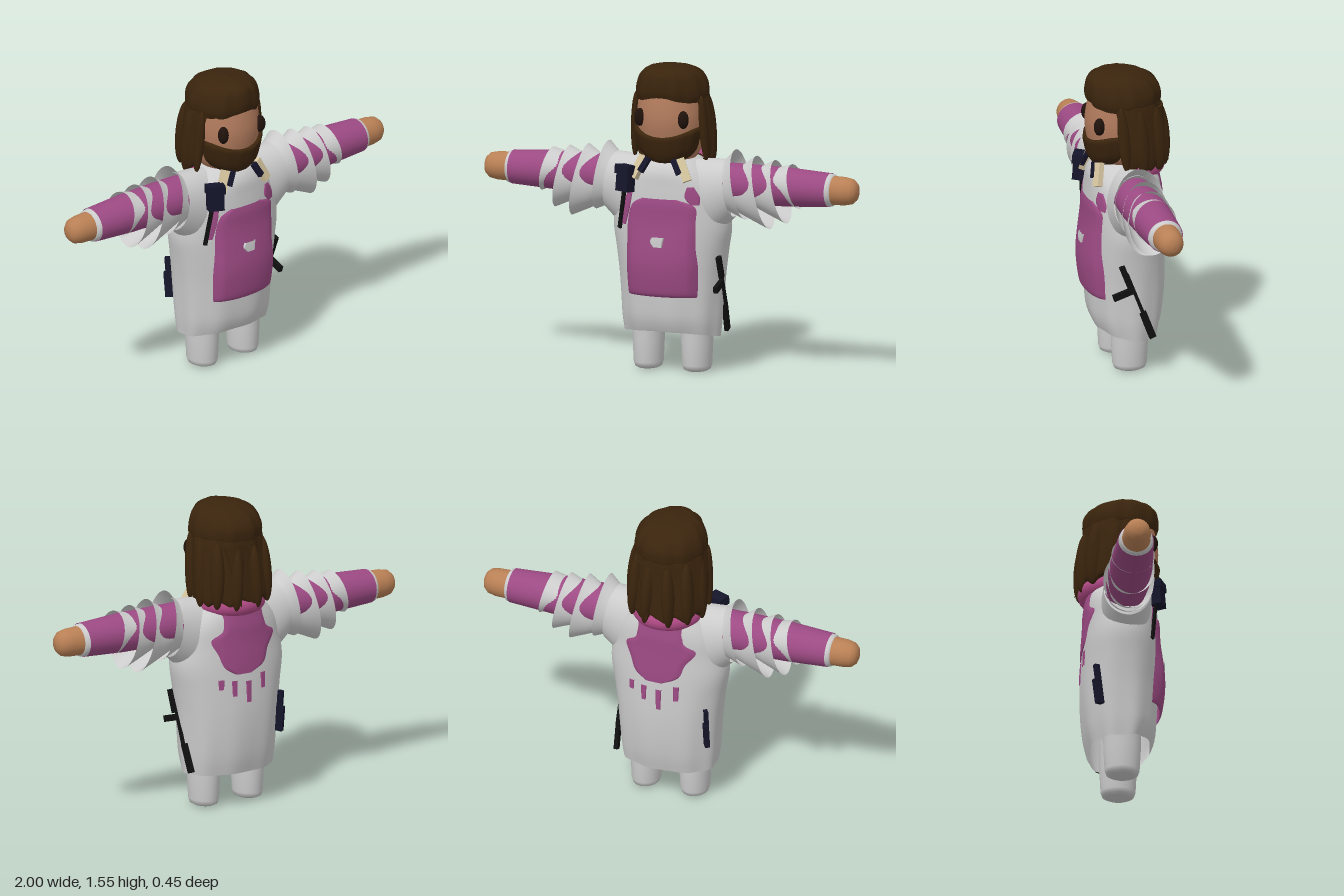
import * as THREE from 'three';

const mat = (color) => new THREE.MeshStandardMaterial({ color, side: THREE.DoubleSide });
const GREY = mat(0xcccccc), PURPLE = mat(0x9c4a83), HAIR = mat(0x3a240d), SKIN = mat(0xb07a5c),
  HAND = mat(0xb98055), NAVY = mat(0x15152b), BLACK = mat(0x101010), CREAM = mat(0xd8c7a0),
  EYE = mat(0x20120c), PINK = mat(0xb04a85);

function add(parent, name, geo, material, pos = [0, 0, 0], rot = [0, 0, 0], scale = [1, 1, 1]) {
  const m = new THREE.Mesh(geo, material);
  m.name = name;
  m.position.set(...pos);
  m.rotation.set(...rot);
  m.scale.set(...scale);
  parent.add(m);
  return m;
}

// Surface through a list of point rings; rings may be closed loops or open strips
function loft(rings, closed = true) {
  const n = rings[0].length, idx = [];
  for (let i = 0; i < rings.length - 1; i++) {
    for (let j = 0; j < (closed ? n : n - 1); j++) {
      const k = (j + 1) % n, a = i * n + j, b = a + n, c = i * n + k, d = b - j + k;
      idx.push(a, b, c, b, d, c);
    }
  }
  const g = new THREE.BufferGeometry();
  g.setAttribute('position', new THREE.Float32BufferAttribute(rings.flat(2), 3));
  g.setIndex(idx);
  g.computeVertexNormals();
  return g;
}

// Smooth sampling of [height, halfWidth, zFront, zBack] profile rows
function sample(rows, t) {
  const f = THREE.MathUtils.clamp(t, 0, 1) * (rows.length - 1);
  const i = Math.min(Math.floor(f), rows.length - 2), k = f - i;
  const at = (q) => rows[THREE.MathUtils.clamp(q, 0, rows.length - 1)];
  return rows[0].map((_, c) => {
    const a = at(i)[c], b = at(i + 1)[c], m0 = (b - at(i - 1)[c]) / 2, m1 = (at(i + 2)[c] - a) / 2;
    const k2 = k * k, k3 = k2 * k;
    return (2 * k3 - 3 * k2 + 1) * a + (k3 - 2 * k2 + k) * m0 + (3 * k2 - 2 * k3) * b + (k3 - k2) * m1;
  });
}

// Upright body from profile rows: p = superellipse power, gap = opening at the front
function upright(rows, { p = 2, gap = 0, steps = 24, seg = 64, fold = () => 0, lift = () => 0 } = {}) {
  const rings = [], closed = gap === 0;
  for (let s = 0; s <= steps; s++) {
    const [y, w, zf, zb] = sample(rows, s / steps), ring = [];
    for (let j = 0; j < seg + (closed ? 0 : 1); j++) {
      const a = Math.PI / 2 + gap + (j / seg) * (Math.PI * 2 - 2 * gap);
      const c = Math.cos(a), d = Math.sin(a), r = 1 + fold(a, s / steps);
      const e = (v) => Math.sign(v) * Math.abs(v) ** (2 / p) * r;
      ring.push([w * e(c), y + lift(a, s / steps), (zf + zb) / 2 + ((zf - zb) / 2) * e(d)]);
    }
    rings.push(ring);
  }
  return loft(rings, closed);
}

const ROBE = [[0.185, 0.245, 0.155, -0.155], [0.27, 0.255, 0.18, -0.175], [0.38, 0.262, 0.19, -0.188],
  [0.5, 0.272, 0.195, -0.193], [0.62, 0.288, 0.198, -0.19], [0.74, 0.305, 0.195, -0.183],
  [0.85, 0.29, 0.195, -0.175], [0.95, 0.265, 0.19, -0.172], [1.03, 0.2, 0.18, -0.16],
  [1.085, 0.12, 0.13, -0.12], [1.11, 0.01, 0.01, -0.01]];
const ROBE_P = 2.2;

// Depth of the robe at a given x and y
function robeZ(x, y, side) {
  let i = 0;
  while (i < ROBE.length - 2 && ROBE[i + 1][0] < y) i++;
  const k = (y - ROBE[i][0]) / (ROBE[i + 1][0] - ROBE[i][0]);
  const [, w, zf, zb] = ROBE[i].map((v, c) => THREE.MathUtils.lerp(v, ROBE[i + 1][c], k));
  const e = Math.max(0, 1 - Math.min(1, Math.abs(x) / w) ** ROBE_P) ** (1 / ROBE_P);
  return (zf + zb) / 2 + side * ((zf - zb) / 2) * e;
}

// Cloth patch lying on the robe; rows are [y, xMin, xMax, offset]
function patch(rows, side) {
  const rings = [], n = rows.length * 4;
  for (let s = 0; s <= n; s++) {
    const [y, l, r, off] = sample(rows, s / n), ring = [];
    for (let j = 0; j <= 16; j++) {
      const x = side > 0 ? r + ((l - r) * j) / 16 : l + ((r - l) * j) / 16;
      const edge = j % 16 === 0 ? 0.2 : 1;
      ring.push([x, y, robeZ(x, y, side) + side * off * edge]);
    }
    rings.push(ring);
  }
  return loft(rings, false);
}

// Sleeve ring: tilted oval from its top point to its bottom point
function armRing([xt, yt, xb, yb, hz]) {
  return Array.from({ length: 40 }, (_, j) => {
    const a = (j / 40) * Math.PI * 2, c = Math.cos(a);
    return [THREE.MathUtils.lerp(xt, xb, (1 - c) / 2), (yt + yb) / 2 + ((yt - yb) / 2) * c, 0.02 - hz * Math.sin(a)];
  });
}
const roundArm = (rows) => loft(rows.map(([x, ry, rz]) => armRing([x, 0.97 + ry, x, 0.97 - ry, rz])));

function buildArm() {
  const g = new THREE.Group();
  add(g, 'arm', roundArm([[0.12, 0.1, 0.1], [0.4, 0.1, 0.111], [0.62, 0.098, 0.104], [0.85, 0.085, 0.09]]), PURPLE);
  add(g, 'wristBand', roundArm([[0.84, 0.083, 0.087], [0.865, 0.081, 0.083], [0.872, 0.07, 0.07]]), GREY);
  add(g, 'hand', roundArm([[0.86, 0.073, 0.072], [0.93, 0.071, 0.068], [0.97, 0.063, 0.06],
    [0.99, 0.045, 0.043], [0.998, 0.025, 0.024], [1, 0.001, 0.001]]), HAND);
  add(g, 'shoulderSleeve', loft([[0.1, 1.075, 0.18, 0.7, 0.12], [0.2, 1.085, 0.27, 0.73, 0.125],
    [0.3, 1.09, 0.34, 0.8, 0.12]].map(armRing)), GREY);
  // Overlapping flared cuffs
  const cuffs = [[0.34, 1.14, 0.4, 0.79, 0.126], [0.45, 1.115, 0.53, 0.75, 0.12],
    [0.55, 1.1, 0.62, 0.785, 0.114], [0.64, 1.085, 0.69, 0.865, 0.108]];
  cuffs.forEach(([xt, yt, xb, yb, hz]) => add(g, 'sleeveCuff', loft([
    [xt - 0.16, 1.05, xb - 0.2, yb + 0.09, 0.09], [xt - 0.07, 1.065, xb - 0.08, yb + 0.035, 0.102],
    [xt, yt, xb, yb, hz]].map(armRing)), GREY));
  return g;
}

function buildHead() {
  const g = new THREE.Group();
  g.name = 'head';
  add(g, 'face', upright([[1.06, 0.1, 0.12, -0.1], [1.12, 0.145, 0.165, -0.12], [1.2, 0.163, 0.188, -0.13],
    [1.3, 0.17, 0.197, -0.13], [1.42, 0.16, 0.175, -0.12]]), SKIN);
  const beard = [[1.065, 0.04, 0.13, 0.02], [1.075, 0.1, 0.165, -0.02], [1.11, 0.145, 0.187, -0.05],
    [1.16, 0.165, 0.2, -0.06], [1.2, 0.172, 0.203, -0.06], [1.205, 0.15, 0.17, -0.05]];
  add(g, 'beard', upright(beard, { fold: (a) => 0.012 * Math.cos(14 * a), lift: (a, t) => t * 0.05 * Math.cos(a) ** 2 }), HAIR);
  for (const s of [-1, 1]) {
    add(g, 'eye', new THREE.SphereGeometry(1, 24, 16), EYE, [s * 0.116, 1.297, 0.158], [0, s * 0.5, 0], [0.027, 0.045, 0.03]);
  }
  // Swept cap, then a long curtain open at the face
  const strands = (a) => 0.018 * Math.cos(11 * a + 0.6) + 0.01 * Math.cos(17 * a);
  add(g, 'hairCap', upright([[1.375, 0.172, 0.19, -0.175], [1.41, 0.182, 0.197, -0.182], [1.46, 0.175, 0.195, -0.178],
    [1.51, 0.15, 0.18, -0.14], [1.543, 0.1, 0.13, -0.06], [1.555, 0.001, 0.041, 0.039]],
  { fold: strands, lift: (a, t) => (1 - t) * 0.03 * Math.max(0, Math.sin(a)) ** 6 }), HAIR);
  add(g, 'hairCurtain', upright([[1.07, 0.165, 0.09, -0.18], [1.09, 0.195, 0.12, -0.2], [1.18, 0.203, 0.14, -0.195],
    [1.3, 0.195, 0.16, -0.185], [1.39, 0.182, 0.18, -0.18], [1.43, 0.17, 0.17, -0.165]],
  { gap: 1.08, fold: strands, lift: (a, t) => (1 - t) * 0.02 * Math.cos(9 * a) }), HAIR);
  // Hanging locks at the sides and back
  for (const s of [-1, 1]) {
    [[0.183, 1.24, 0.05, 0.03], [0.182, 1.22, -0.04, 0.04], [0.14, 1.22, -0.13, 0.045], [0.055, 1.21, -0.175, 0.045]]
      .forEach(([x, y, z, r]) => add(g, 'hairLock', new THREE.SphereGeometry(1, 16, 16), HAIR, [s * x, y, z], [0.08, 0, s * 0.05], [r * 0.75, 0.17, r]));
  }
  add(g, 'hairTip', new THREE.ConeGeometry(0.05, 0.32, 12), HAIR, [0.05, 1.215, -0.185], [Math.PI + 0.2, 0, 0], [1.3, 1, 0.6]);
  return g;
}

export function createModel() {
  const model = new THREE.Group();

  // Legs
  const leg = new THREE.LatheGeometry([[0, 0], [0.05, 0.003], [0.066, 0.012], [0.073, 0.035], [0.078, 0.15], [0.08, 0.3]]
    .map(([x, y]) => new THREE.Vector2(x, y)), 32);
  for (const s of [-1, 1]) add(model, 'leg', leg, GREY, [s * 0.13, 0.003, 0.007], [0, 0, 0], [1, 1, 1.2]);

  // Robe with a rippled hem, raised at the front
  add(model, 'robe', upright(ROBE, {
    p: ROBE_P, steps: 40, seg: 96,
    fold: (a, t) => 0.02 * Math.cos(9 * a) * Math.max(0, 1 - 2.2 * t),
    lift: (a, t) => 0.03 * Math.max(0, Math.sin(a)) * (1 - t) ** 8,
  }), GREY);

  // Purple panels and stains
  add(model, 'bellyPanel', patch([[0.4, -0.175, 0.185, 0.012], [0.43, -0.18, 0.19, 0.026], [0.55, -0.185, 0.195, 0.035],
    [0.66, -0.18, 0.185, 0.026], [0.78, -0.175, 0.185, 0.012], [0.86, -0.15, 0.18, 0.01], [0.895, -0.09, 0.09, 0.006]], 1), PURPLE);
  add(model, 'bellyMark', patch([[0.655, -0.02, 0.03, 0.033], [0.68, -0.04, 0.035, 0.032], [0.705, -0.03, 0.04, 0.03]], 1), GREY);
  add(model, 'chestStain', patch([[0.87, 0.16, 0.2, 0.006], [0.91, 0.13, 0.2, 0.008], [0.96, 0.14, 0.17, 0.006]], 1), PURPLE);
  add(model, 'chestStain', patch([[0.75, -0.22, -0.19, 0.006], [0.84, -0.21, -0.165, 0.008], [0.93, -0.18, -0.15, 0.006]], 1), PURPLE);
  add(model, 'backPanel', patch([[0.71, -0.03, 0.06, 0.006], [0.75, -0.11, 0.12, 0.008], [0.82, -0.14, 0.15, 0.009],
    [0.89, -0.19, 0.18, 0.008], [0.94, -0.13, 0.12, 0.008], [1.03, -0.12, 0.12, 0.008]], -1), PURPLE);
  [[-0.1, 0.62, 0.7], [-0.01, 0.56, 0.67], [0.07, 0.6, 0.68], [0.14, 0.64, 0.69]].forEach(([x, y0, y1]) =>
    add(model, 'backDrip', patch([[y0, x - 0.012, x + 0.012, 0.006], [y1, x - 0.015, x + 0.015, 0.006]], -1), PURPLE));

  // Collar: rolled hood at the back, cream lapels and navy strips at the front
  add(model, 'hoodRoll', new THREE.TorusGeometry(0.14, 0.045, 14, 40, Math.PI * 1.1), PINK,
    [0, 1.055, -0.02], [-Math.PI / 2, 0, -0.16], [1, 1, 1.1]);
  for (const s of [-1, 1]) {
    add(model, 'lapel', new THREE.BoxGeometry(0.045, 0.12, 0.03), CREAM, [s * 0.12, 1.045, 0.165], [-0.35, s * 0.3, s * 0.45]);
    add(model, 'collarStrip', new THREE.BoxGeometry(0.03, 0.08, 0.02), NAVY, [s * 0.085, 1.06, 0.178], [-0.35, s * 0.2, s * 0.5]);
  }

  // Arms
  const left = buildArm(), right = buildArm();
  left.name = 'leftArm';
  right.name = 'rightArm';
  right.scale.x = -1;
  model.add(left, right, buildHead());

  // Chest pouch with a hanging strap
  add(model, 'pouch', new THREE.BoxGeometry(0.08, 0.11, 0.055), NAVY, [-0.185, 0.975, 0.18], [-0.1, -0.4, -0.05]);
  add(model, 'pouchLid', new THREE.BoxGeometry(0.092, 0.045, 0.065), NAVY, [-0.185, 1.03, 0.178], [-0.1, -0.4, -0.05]);
  add(model, 'pouchStrap', new THREE.BoxGeometry(0.02, 0.2, 0.012), BLACK, [-0.212, 0.825, 0.16], [0, -0.5, -0.18]);

  // Hip sword on the left, holster on the right
  const sword = new THREE.Group();
  sword.name = 'sword';
  sword.position.set(0.272, 0.42, 0.005);
  sword.rotation.x = 0.37;
  add(sword, 'blade', new THREE.BoxGeometry(0.014, 0.26, 0.016), BLACK, [0, 0.02, 0]);
  add(sword, 'scabbardEnd', new THREE.BoxGeometry(0.02, 0.15, 0.035), BLACK, [-0.01, -0.155, 0], [0, 0, -0.05]);
  add(sword, 'grip', new THREE.BoxGeometry(0.022, 0.12, 0.028), BLACK, [0.004, 0.14, 0.01]);
  add(sword, 'crossGuard', new THREE.BoxGeometry(0.022, 0.032, 0.1), BLACK, [0.004, 0.06, 0.06], [-0.05, 0, 0]);
  model.add(sword);
  add(model, 'holster', new THREE.BoxGeometry(0.025, 0.13, 0.055), NAVY, [-0.235, 0.42, -0.115], [-0.12, 0.6, 0]);
  add(model, 'holsterGrip', new THREE.BoxGeometry(0.02, 0.09, 0.028), NAVY, [-0.24, 0.52, -0.125], [-0.12, 0.6, 0]);
  return model;
}
